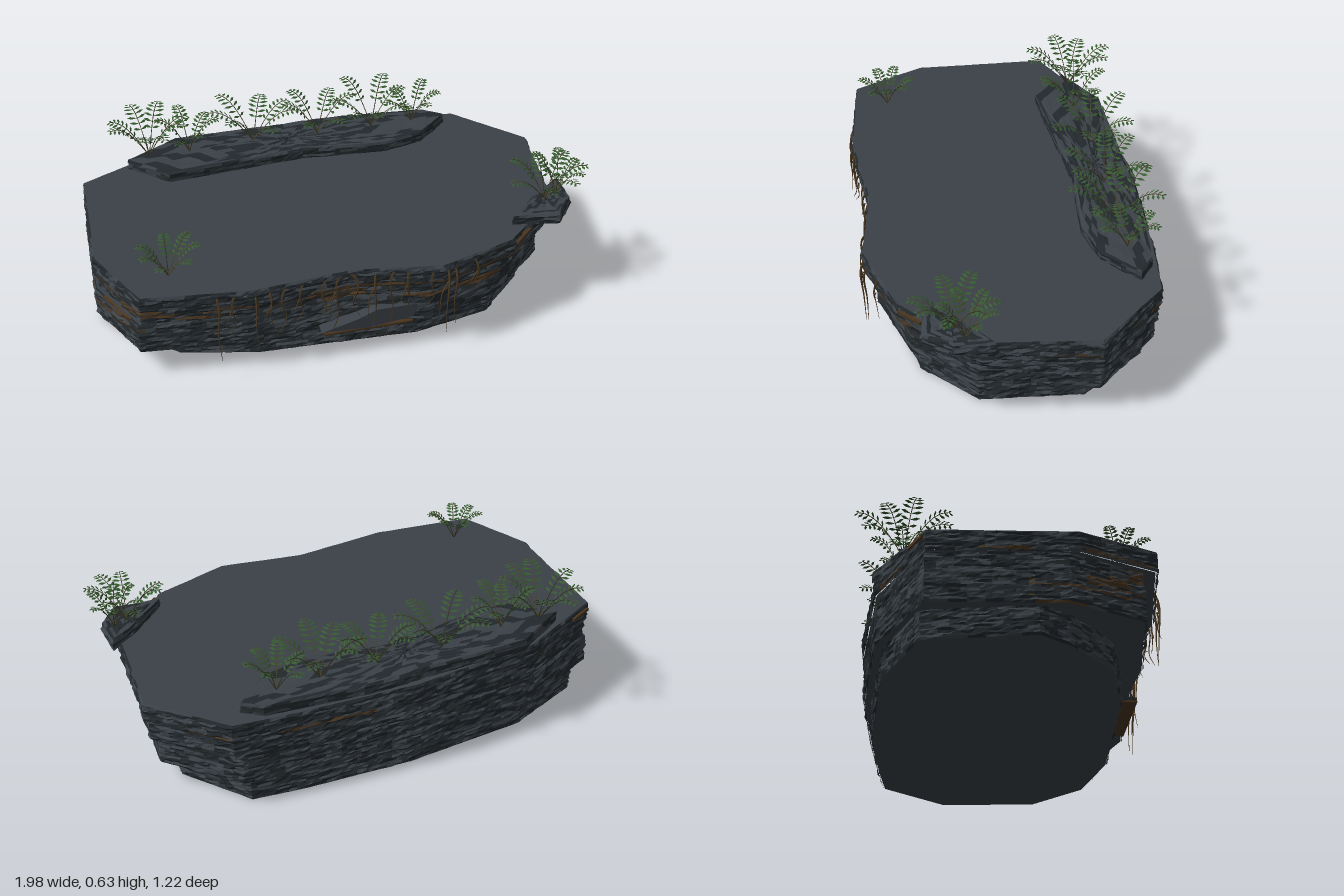
import * as THREE from 'three';
import { mergeGeometries } from 'three/addons/utils/BufferGeometryUtils.js';

const mat = (name, color, side = THREE.FrontSide) => {
  const m = new THREE.MeshStandardMaterial({ color, side, flatShading: true });
  m.name = name;
  return m;
};

// Repeatable noise in 0..1
const hash = (a, b = 0, c = 0) => {
  const s = Math.sin(a * 127.1 + b * 311.7 + c * 74.7) * 43758.5453;
  return s - Math.floor(s);
};

// Plans as [x, z], anticlockwise seen from above
const PLAN = [[-0.97, -0.35], [-1, 0.2], [-0.87, 0.5], [-0.45, 0.56], [-0.05, 0.53], [0.3, 0.59], [0.62, 0.49],
  [0.88, 0.25], [0.945, -0.23], [0.7, -0.51], [0.45, -0.54], [-0.05, -0.575], [-0.6, -0.525]];
const BASE_PLAN = [[-0.9, -0.36], [-0.975, 0.06], [-0.9, 0.18], [-0.71, 0.36], [-0.4, 0.44], [0.25, 0.475], [0.56, 0.41],
  [0.77, 0.21], [0.81, -0.2], [0.62, -0.47], [0.4, -0.5], [-0.05, -0.53], [-0.57, -0.49]];
const BACK_SLAB = [[-0.77, -0.41], [-0.62, -0.26], [-0.03, -0.3], [0.32, -0.27], [0.5, -0.31], [0.64, -0.44],
  [0.57, -0.5], [0.1, -0.55], [-0.55, -0.535]];
const SIDE_SLAB = [[0.64, 0.4], [0.84, 0.43], [0.93, 0.32], [0.93, 0.16], [0.78, 0.26]];

// Split long edges while keeping the corners
function subdivide(points, step) {
  const out = [];
  points.forEach((p, i) => {
    const q = points[(i + 1) % points.length];
    const n = Math.ceil(Math.hypot(q[0] - p[0], q[1] - p[1]) / step);
    for (let k = 0; k < n; k++) out.push([p[0] + (q[0] - p[0]) * k / n, p[1] + (q[1] - p[1]) * k / n]);
  });
  return out;
}

// Stretch the plan to a layer's own bounds
const fitPlan = (x0, x1, z0, z1) => PLAN.map(([x, z]) => [
  x0 + (x + 1) / 1.945 * (x1 - x0), z0 + (z + 0.575) / 1.165 * (z1 - z0)]);

// Flat polygon facing up or down
function cap(points, y, up) {
  const shape = new THREE.Shape(points.map(([x, z]) => new THREE.Vector2(x, up ? -z : z)));
  return new THREE.ShapeGeometry(shape).rotateX(up ? -Math.PI / 2 : Math.PI / 2).translate(0, y, 0);
}

// Closed rings of rough strata; pick() gives the material index of each facet
function strata(points, rings, seed, pick) {
  const n = points.length;
  const cx = points.reduce((s, p) => s + p[0], 0) / n, cz = points.reduce((s, p) => s + p[1], 0) / n;
  const verts = rings.map(({ y, scale = 1, inset = 0, rough = 0.012, wave = 0.005 }, r) => points.map(([x, z], i) => {
    const len = Math.hypot(x - cx, z - cz);
    const d = inset + rough * (0.6 * hash(Math.floor(i / 3), r, seed) + 0.4 * hash(i, r, seed + 9));
    const k = scale * (1 - d / len);
    return [cx + (x - cx) * k, y + wave * (hash(Math.floor(i / 2), r, seed + 4) - 0.5), cz + (z - cz) * k];
  }));
  const buckets = [[], [], []];
  for (let r = 0; r < rings.length - 1; r++) {
    for (let i = 0; i < n; i++) {
      const j = (i + 1) % n;
      const [a, b, c, d] = [verts[r][i], verts[r][j], verts[r + 1][j], verts[r + 1][i]];
      buckets[pick(a, r, i)].push(...a, ...b, ...c, ...a, ...c, ...d);
    }
  }
  const geo = new THREE.BufferGeometry();
  geo.setAttribute('position', new THREE.Float32BufferAttribute(buckets.flat(), 3));
  let start = 0;
  buckets.forEach((b, m) => { geo.addGroup(start, b.length / 3, m); start += b.length / 3; });
  geo.computeVertexNormals();
  return { geo, top: verts[rings.length - 1].map(v => [v[0], v[2]]) };
}

// Dark and pale streaks in runs along each row
const streak = (r, i, seed) => (hash(Math.floor((i + 7 * hash(r, seed)) / 3), r, seed + 2) < 0.5 ? 1 : 0);

export function createModel() {
  const slate = mat('slate top', 0x3b4147);
  const stone = mat('grey stone', 0x3a4147);
  const shade = mat('dark stone', 0x22282c);
  const rust = mat('rusty stone', 0x483520);
  const rootMat = mat('root brown', 0x4a3820);
  const leafMat = mat('fern green', 0x365a2e, THREE.DoubleSide);
  const stemMat = mat('fern stem', 0x43402a);
  const rock = [stone, shade, rust];

  const model = new THREE.Group();
  const add = (parent, name, geo, material) => {
    const m = new THREE.Mesh(geo, material);
    m.name = name;
    parent.add(m);
    return m;
  };

  // Stacked rock layers: bottom, top and plan
  const layers = [
    [0, 0.125, BASE_PLAN],
    [0.115, 0.245, fitPlan(-1, 0.9, -0.565, 0.545)],
    [0.237, 0.33, fitPlan(-0.985, 0.935, -0.565, 0.54)],
    [0.322, 0.405, fitPlan(-1, 0.95, -0.577, 0.6)],
  ];
  layers.forEach(([y0, y1, plan], l) => {
    const points = subdivide(plan, 0.022);
    const rows = Math.round((y1 - y0) / 0.0085);
    const rings = Array.from({ length: rows + 1 }, (_, r) => {
      const end = r === 0 || r === rows;
      return { y: y0 + (y1 - y0) * r / rows, inset: end ? 0.011 : 0, rough: end ? 0.003 : 0.014, wave: end ? 0 : 0.006 };
    });
    // Rust gathers in thin seams along the front and under the top layer
    const { geo, top } = strata(points, rings, l * 13 + 1, ([x, , z], r, i) => {
      const run = hash(Math.floor(i / 9), r, l + 30);
      const front = z > 0.3 && x < 0.6;
      if (l === 2 && front && x < 0 && run < 0.38) return 2;
      if (l === 1 && r > rows - 5 && front && x > 0.15 && run < 0.4) return 2;
      if (l === 1 && x < -0.85 && z > 0 && run < 0.25) return 2;
      if (l === 3 && r === 1 && run < 0.45) return 2;
      return streak(r, i, l + 50);
    });
    const layer = new THREE.Group();
    layer.name = `rockLayer${l + 1}`;
    add(layer, 'strataWall', geo, rock);
    add(layer, 'layerTop', cap(top, y1, true), l === 3 ? slate : stone);
    add(layer, 'layerUnderside', cap(points.map(([x, z]) => [x * 0.985, z * 0.975]), y0 + 0.0005, false), stone);
    model.add(layer);
  });

  // Raised slabs with streaked tops
  [['backSlab', BACK_SLAB, 0.45, 10], ['sideSlab', SIDE_SLAB, 0.443, 7]].forEach(([name, plan, top, steps], s) => {
    const rings = [0, 1, 2, 3, 4, 5].map(r => ({ y: 0.4 + (top - 0.4) * r / 5, inset: r === 5 ? 0.008 : 0, wave: r === 5 ? 0 : 0.004 }));
    for (let k = 1; k <= steps; k++) rings.push({ y: top + 0.002 * (k % 2), scale: 1 - k / steps, wave: 0.004 });
    const { geo } = strata(subdivide(plan, 0.025), rings, 90 + s, (p, r, i) => streak(r, i, 95 + s));
    add(model, name, geo, rock);
  });

  // Smooth broken face on the front and rusty chips on the rim
  const face = new THREE.Shape([[-0.17, 0.13], [0.02, 0.12], [0.2, 0.14], [0.22, 0.2], [0.05, 0.2], [-0.02, 0.17]]
    .map(p => new THREE.Vector2(...p)));
  add(model, 'brokenFace', new THREE.ExtrudeGeometry(face, { depth: 0.06, bevelEnabled: false }).translate(0, 0, 0.475), stone);
  add(model, 'brokenFaceLedge', new THREE.BoxGeometry(0.36, 0.008, 0.06).translate(0.02, 0.117, 0.506), rust);
  [[-0.9, 0.38, -0.372, 0.44], [0.67, 0.385, 0.446, 0.76]].forEach(([x, y, z, turn]) => {
    const chip = add(model, 'rustyChip', new THREE.BoxGeometry(0.11, 0.012, 0.03), rust);
    chip.position.set(x, y, z);
    chip.rotation.y = turn;
  });

  // Roots hanging below the front rim, tapering to the tip, some with a side shoot
  const edgeZ = x => {
    for (let i = 2; i < 6; i++) {
      const [a, b] = [PLAN[i], PLAN[i + 1]];
      if (x <= b[0]) return a[1] + (b[1] - a[1]) * (x - a[0]) / (b[0] - a[0]);
    }
    return 0.49;
  };
  const rootGeos = [];
  const addRoot = (points, radius) => {
    const path = new THREE.CatmullRomCurve3(points.map(p => new THREE.Vector3(...p)));
    const tube = new THREE.TubeGeometry(path, 14, radius, 4);
    const pos = tube.attributes.position, v = new THREE.Vector3();
    for (let i = 0; i < pos.count; i++) {
      const t = Math.floor(i / 5) / 14;
      v.fromBufferAttribute(pos, i).lerp(path.getPointAt(t), t * 0.85);
      pos.setXYZ(i, v.x, v.y, v.z);
    }
    rootGeos.push(tube);
  };
  for (let k = 0; k < 16; k++) {
    const x = -0.6 + k * 0.068 + 0.04 * hash(k, 3), z = edgeZ(x);
    const end = 0.06 + 0.2 * hash(k, 8), lean = 0.07 * (hash(k, 5) - 0.5);
    const tipZ = z + 0.025 * hash(k, 7);
    addRoot([[x - lean, 0.392, z - 0.012], [x, 0.375, z + 0.006], [x + lean * 0.3, 0.33, z + 0.01 + 0.01 * hash(k, 6)],
      [x - lean * 0.3, (0.33 + end) / 2, z + 0.012], [x + lean, end, tipZ]], 0.0055);
    if (k % 2) addRoot([[x + lean * 0.3, 0.33, z + 0.01], [x - 0.025, 0.28, z + 0.014], [x - 0.03, end + 0.06, tipZ]], 0.004);
  }
  add(model, 'hangingRoots', mergeGeometries(rootGeos), rootMat);

  // Ferns: arching stems with paired leaflets
  function fern(x, y, z, radius, height, fronds, seed) {
    const stems = [], leaves = [];
    for (let f = 0; f < fronds; f++) {
      const yaw = (f + 0.5 * hash(f, seed)) / fronds * Math.PI * 2 + seed;
      const L = radius * (0.8 + 0.2 * hash(f, seed, 1)), H = height * (0.72 + 0.28 * hash(f, seed, 2));
      const dir = new THREE.Vector3(Math.cos(yaw), 0, Math.sin(yaw));
      const side = new THREE.Vector3(-dir.z, 0, dir.x);
      const at = (d, h) => dir.clone().multiplyScalar(d).setY(h);
      const curve = new THREE.CubicBezierCurve3(at(0, 0), at(L * 0.3, H * 0.5), at(L * 0.6, H * 1.08), at(L, H * 0.98));
      stems.push(new THREE.TubeGeometry(curve, 8, 0.002, 3));
      for (let k = 0; k < 7; k++) {
        const t = 0.4 + k * 0.098, p = curve.getPoint(t), along = curve.getTangent(t);
        const len = 0.2 * radius * Math.sin(Math.PI * (0.25 + 0.62 * k / 6)) + 0.006;
        for (const s of [-1, 1]) {
          const out = side.clone().multiplyScalar(s).addScaledVector(along, 0.4).normalize();
          out.y -= 0.15;
          const tip = p.clone().addScaledVector(out, len);
          const mid = p.clone().addScaledVector(out, len * 0.6);
          const a = mid.clone().addScaledVector(along, 0.006), b = mid.clone().addScaledVector(along, -0.006);
          // Wound so that the upper side faces up on both sides of the stem
          const quad = s > 0 ? [p, tip, b, p, a, tip] : [p, b, tip, p, tip, a];
          quad.forEach(q => leaves.push(q.x, q.y, q.z));
        }
      }
    }
    const plant = new THREE.Group();
    plant.name = 'fern';
    const leafGeo = new THREE.BufferGeometry();
    leafGeo.setAttribute('position', new THREE.Float32BufferAttribute(leaves, 3));
    leafGeo.computeVertexNormals();
    add(plant, 'fernLeaflets', leafGeo, leafMat);
    add(plant, 'fernStems', mergeGeometries(stems), stemMat);
    plant.position.set(x, y, z);
    model.add(plant);
  }
  [[-0.67, 0.45, -0.42, 0.2, 0.185, 8], [-0.5, 0.45, -0.41, 0.15, 0.165, 6], [-0.22, 0.45, -0.43, 0.2, 0.185, 7],
    [0.06, 0.45, -0.42, 0.18, 0.17, 6], [0.3, 0.45, -0.42, 0.19, 0.185, 7], [0.48, 0.45, -0.42, 0.14, 0.15, 6],
    [-0.73, 0.4, 0.38, 0.125, 0.14, 7], [0.82, 0.44, 0.3, 0.17, 0.165, 7], [0.88, 0.44, 0.27, 0.12, 0.165, 6],
  ].forEach((spec, i) => fern(...spec, i + 1));

  return model;
}
